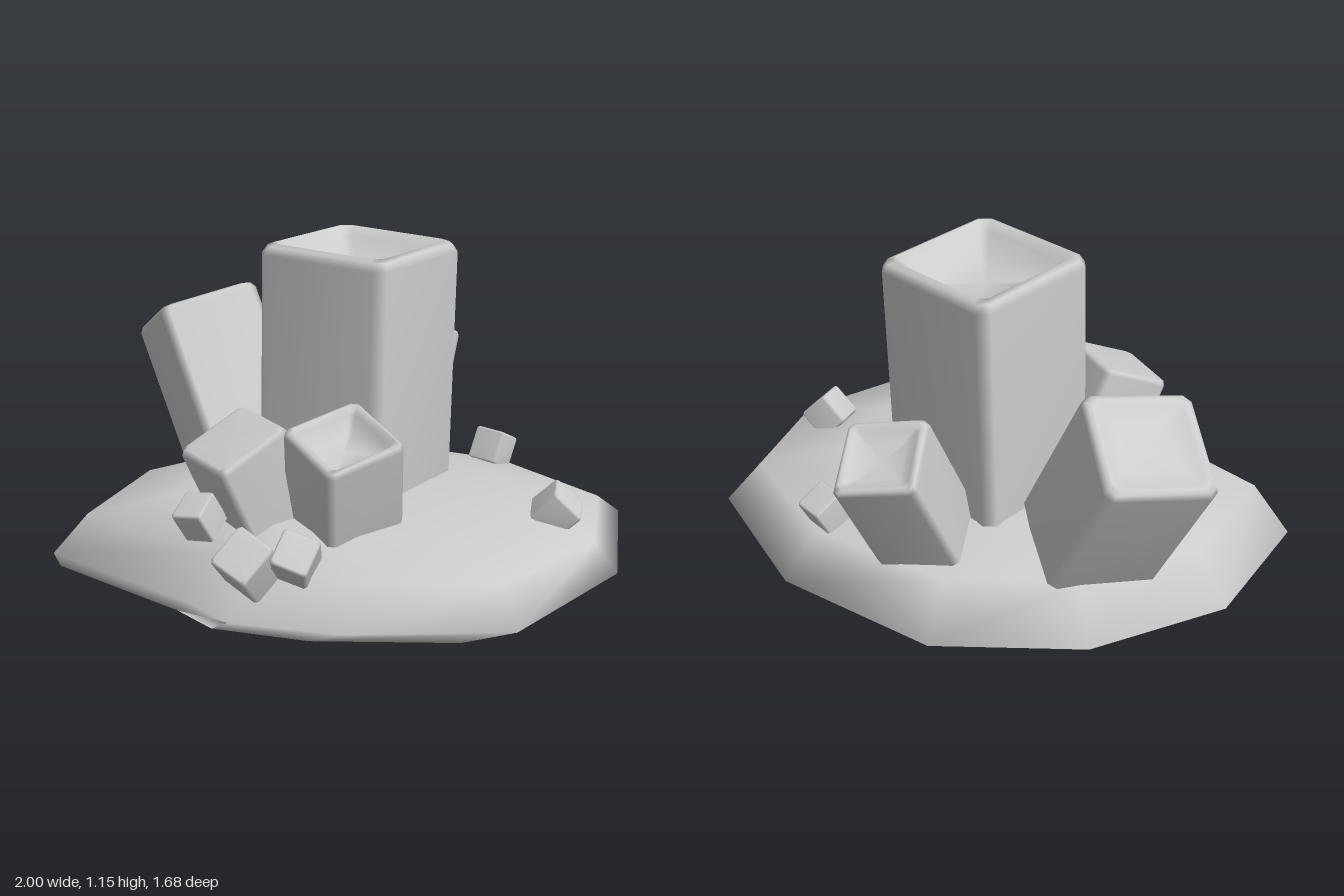
import * as THREE from 'three';

const stone = new THREE.MeshStandardMaterial({ color: 0xcccccc });
stone.name = 'pale grey stone';

// Skin a stack of rings (counter-clockwise from above, bottom to top) and cap both ends.
function loft(name, rings, bottom, top) {
  const n = rings[0].length, last = rings.length - 1;
  const points = [...rings.flat(), bottom, top];
  const index = [];
  for (let i = 0; i < last; i++) {
    for (let j = 0; j < n; j++) {
      const k = (j + 1) % n;
      const a = i * n + j, b = i * n + k, c = a + n, d = b + n;
      index.push(a, b, d, a, d, c);
    }
  }
  for (let j = 0; j < n; j++) {
    const k = (j + 1) % n;
    index.push(points.length - 2, k, j);
    index.push(points.length - 1, last * n + j, last * n + k);
  }
  const geometry = new THREE.BufferGeometry().setFromPoints(points);
  geometry.setIndex(index);
  geometry.computeVertexNormals();
  const mesh = new THREE.Mesh(geometry, stone);
  mesh.name = name;
  return mesh;
}

// Square prism from bottom to top centre with bevelled edges and a sunken end.
// side is the x, z direction of one edge as seen from above.
function crystal({ name, from, to, side, size, depth = 0 }) {
  const start = new THREE.Vector3(...from), end = new THREE.Vector3(...to);
  const length = start.distanceTo(end);
  const axis = end.clone().sub(start).normalize();
  const u = new THREE.Vector3(side[0], -(axis.x * side[0] + axis.z * side[1]) / axis.y, side[1]).normalize();
  const w = axis.clone().cross(u);
  const h = size / 2, bevel = size * 0.07;
  const at = (x, y, z) => start.clone().addScaledVector(u, x).addScaledVector(axis, y).addScaledVector(w, z);

  // Square with chamfered corners
  const ring = (half, y) => {
    const c = half - bevel * half / h;
    return [[half, -c], [half, c], [c, half], [-c, half], [-half, c], [-half, -c], [-c, -half], [c, -half]]
      .map(([x, z]) => at(x, y, z));
  };
  const rings = [
    ring(h - bevel, 0), ring(h, bevel), ring(h, length - bevel),
    ring(h - bevel * 0.4, length - bevel * 0.25), ring(h - bevel, length),
  ];
  if (depth) rings.push(ring(h * 0.76, length - depth * 0.35), ring(h * 0.5, length - depth));
  return loft(name, rings, at(0, 0, 0), at(0, length - depth, 0));
}

// Flat, irregular rock with a sharp rim
function rockBase() {
  const outline = [
    [1, 0.22], [1, -0.31], [0.57, -0.7], [-0.02, -0.85], [-0.52, -0.67], [-0.89, -0.28],
    [-1, 0.27], [-0.42, 0.59], [-0.25, 0.72], [0.13, 0.76], [0.69, 0.68],
  ];
  const ring = (sx, sz, dx, dz, height) => outline.map(([x, z]) =>
    new THREE.Vector3(x * sx + dx, height(x, z), z * sz + dz));
  const rings = [
    ring(0.45, 0.45, -0.05, 0.04, () => 0.005),
    ring(0.87, 0.87, -0.09, 0.08, () => 0.005),
    ring(1, 1, 0, 0, (x, z) => 0.065 + 0.025 * x - 0.03 * z),
    ring(0.89, 0.82, 0.03, 0.06, () => 0.2),
    ring(0.58, 0.55, 0.03, 0.08, () => 0.275),
  ];
  return loft('rockBase', rings, new THREE.Vector3(-0.05, 0, 0.04), new THREE.Vector3(0.05, 0.3, 0.08));
}

export function createModel() {
  const group = new THREE.Group();
  group.name = 'crystalCluster';
  group.add(rockBase());

  const crystals = [
    // Large crystals
    { name: 'mainCrystal', from: [0.045, 0.15, -0.055], to: [0.06, 1.14, -0.08], side: [0.42, 0.2], size: 0.52, depth: 0.1 },
    { name: 'backRightCrystal', from: [-0.375, 0.18, -0.27], to: [-0.645, 0.78, -0.47], side: [-0.31, 0.23], size: 0.39, depth: 0.03 },
    { name: 'backLeftCrystal', from: [0.13, 0.16, -0.41], to: [0.205, 0.67, -0.665], side: [1, -0.1], size: 0.29, depth: 0.03 },
    { name: 'frontRightCrystal', from: [-0.19, 0.2, 0.28], to: [-0.3, 0.56, 0.4], side: [0.7, 0.7], size: 0.285 },
    { name: 'frontCrystal', from: [0.07, 0.2, 0.32], to: [0.09, 0.61, 0.46], side: [0.7, 0.72], size: 0.3, depth: 0.07 },
    // Small chips
    { name: 'rightChip', from: [-0.38, 0.24, 0.44], to: [-0.42, 0.35, 0.49], side: [1, 0.4], size: 0.12 },
    { name: 'frontChip', from: [-0.17, 0.18, 0.64], to: [-0.19, 0.3, 0.76], side: [1, 0.55], size: 0.155 },
    { name: 'frontMiddleChip', from: [-0.04, 0.2, 0.61], to: [-0.02, 0.31, 0.73], side: [1, 0.12], size: 0.13 },
    { name: 'leftChip', from: [0.735, 0.225, 0.13], to: [0.825, 0.315, 0.14], side: [1, -0.1], size: 0.13 },
    { name: 'backChip', from: [0.5, 0.21, -0.44], to: [0.53, 0.32, -0.49], side: [0.85, 0.5], size: 0.12 },
  ];
  for (const spec of crystals) group.add(crystal(spec));
  return group;
}
